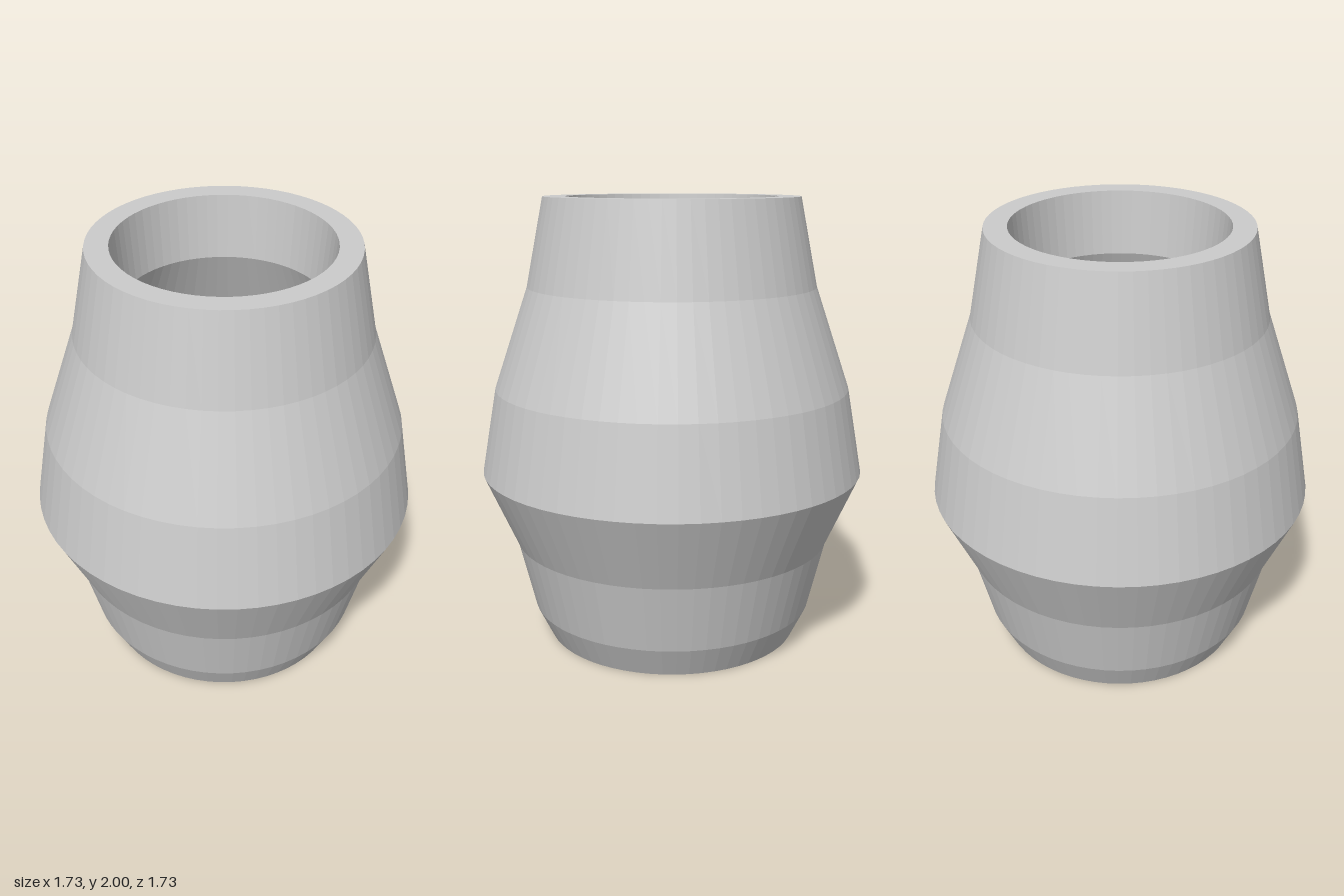
import * as THREE from 'three';

const SEGMENTS = 64;

// Revolve a list of [radius, height] pairs around the y axis
function revolve(name, profile, material) {
  const points = profile.map(([r, y]) => new THREE.Vector2(r, y));
  const mesh = new THREE.Mesh(new THREE.LatheGeometry(points, SEGMENTS), material);
  mesh.name = name;
  return mesh;
}

export function createModel() {
  const group = new THREE.Group();
  group.name = 'vase';
  const material = new THREE.MeshStandardMaterial({ color: 0xcccccc, flatShading: true });

  // Base disc and faceted outer wall, bottom to top
  group.add(revolve('outerBody', [
    [0, 0], [0.577, 0], [0.645, 0.14], [0.72, 0.45], [0.865, 0.78],
    [0.798, 1.16], [0.645, 1.61], [0.567, 2],
  ], material));

  // Flat ring around the mouth
  group.add(revolve('rim', [[0.567, 2], [0.467, 2]], material));

  // Neck narrowing to a throat, then a cavity following the outer wall to the floor
  group.add(revolve('innerCavity', [
    [0.467, 2], [0.445, 1.71], [0.69, 1.14], [0.755, 0.79],
    [0.62, 0.47], [0.545, 0.14], [0, 0.14],
  ], material));

  return group;
}
